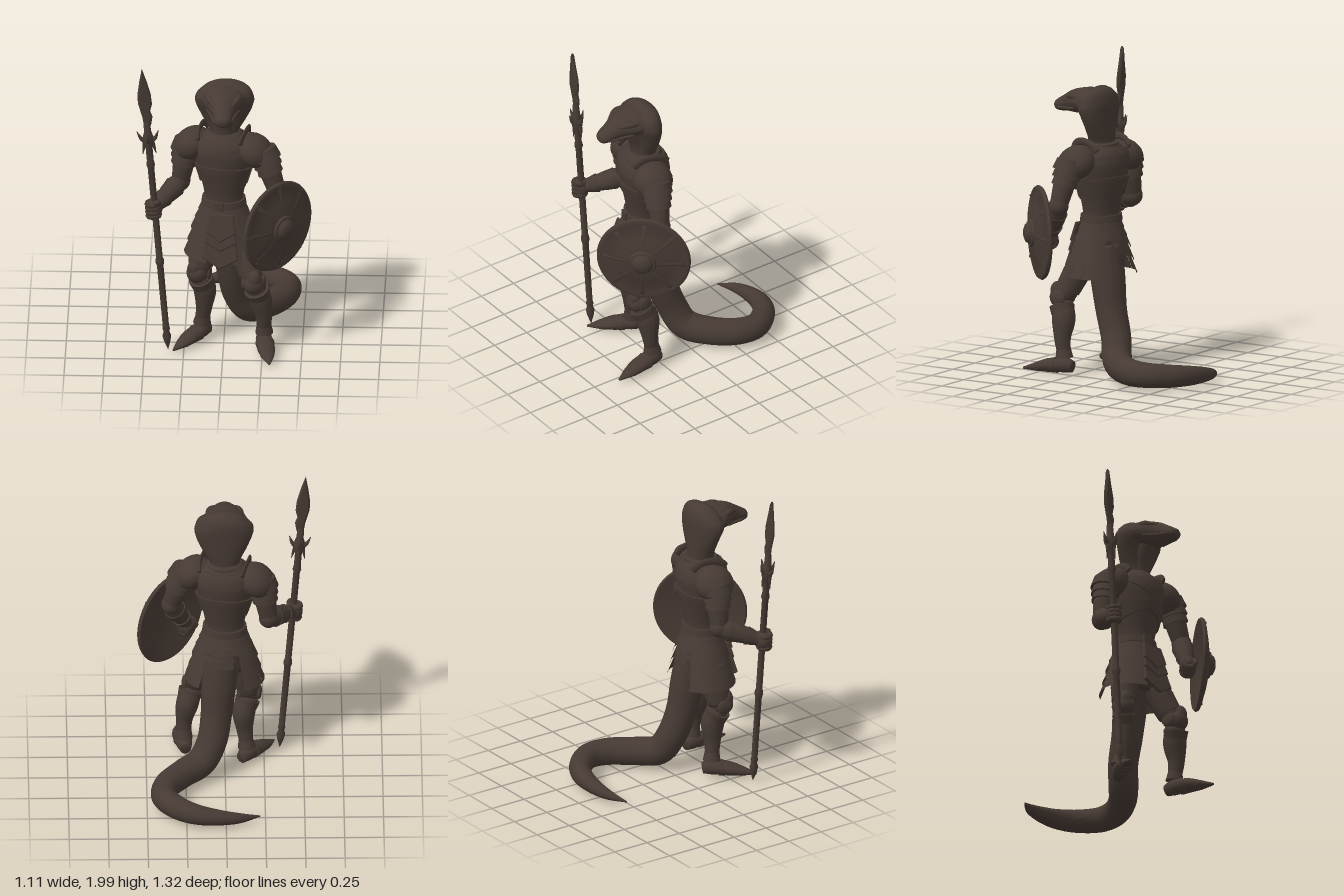
import * as THREE from 'three';
import { toCreasedNormals } from 'three/addons/utils/BufferGeometryUtils.js';

const V = (x, y, z) => new THREE.Vector3(x, y, z);
const UP = V(0, 1, 0), FRONT = V(0, 0, 1);
const bronze = new THREE.MeshStandardMaterial({ color: 0x463a33, side: THREE.DoubleSide });
bronze.name = 'darkBronze';

function add(parent, name, geo) {
  const m = new THREE.Mesh(geo, bronze);
  m.name = name;
  parent.add(m);
  return m;
}
function group(parent, name) {
  const g = new THREE.Group();
  g.name = name;
  parent.add(g);
  return g;
}
function surface(pos, idx) {
  const g = new THREE.BufferGeometry();
  g.setAttribute('position', new THREE.Float32BufferAttribute(pos, 3));
  g.setIndex(idx);
  g.computeVertexNormals();
  return g;
}
// Closed elliptical loft through sections [x, y, z, ra, rb]; rb lies along ref
function loft(secs, ref = FRONT, steps = 6, sides = 24) {
  const path = new THREE.CatmullRomCurve3(secs.map(s => V(s[0], s[1], s[2])));
  const size = new THREE.CatmullRomCurve3(secs.map(s => V(s[3], s[4] ?? s[3], 0)));
  const n = (secs.length - 1) * steps, pos = [], idx = [];
  for (let i = -1; i <= n + 1; i++) {
    const u = Math.min(Math.max(i / n, 0), 1), cap = i < 0 || i > n ? 0 : 1;
    const p = path.getPoint(u), r = size.getPoint(u), t = path.getTangent(u);
    const a = ref.clone().cross(t).normalize(), b = t.clone().cross(a);
    for (let j = 0; j <= sides; j++) {
      const w = j / sides * Math.PI * 2;
      const q = p.clone().addScaledVector(a, Math.cos(w) * r.x * cap).addScaledVector(b, Math.sin(w) * r.y * cap);
      pos.push(q.x, q.y, q.z);
    }
  }
  const k = sides + 1;
  for (let i = 0; i < n + 2; i++) for (let j = 0; j < sides; j++) {
    const a = i * k + j;
    idx.push(a, a + 1, a + k, a + 1, a + k + 1, a + k);
  }
  return surface(pos, idx);
}
const crisp = g => toCreasedNormals(g, 0.7);
// Short flared armour band between two points
function band(parent, name, a, b, r0, r1, ref = FRONT) {
  add(parent, name, crisp(loft([[...a, r0, r0], [...b, r1, r1]], ref, 1)));
}
function ball(parent, name, p, s) {
  const m = add(parent, name, new THREE.SphereGeometry(1, 24, 16));
  m.position.set(...p);
  m.scale.set(...s);
  return m;
}
const mix = (a, b, t) => a.map((v, i) => v + (b[i] - v) * t);

// Torso profile: y, half width, half depth
const TORSO = [[0.95, 0.14, 0.115], [1.03, 0.125, 0.105], [1.12, 0.14, 0.118], [1.25, 0.178, 0.145],
  [1.36, 0.195, 0.155], [1.42, 0.175, 0.145], [1.46, 0.135, 0.12], [1.49, 0.1, 0.095]];
function torsoAt(a, y, off) {
  let i = 0;
  while (i < TORSO.length - 2 && y > TORSO[i + 1][0]) i++;
  const s = mix(TORSO[i], TORSO[i + 1], (y - TORSO[i][0]) / (TORSO[i + 1][0] - TORSO[i][0]));
  return [Math.sin(a) * (s[1] + off), y, Math.cos(a) * (s[2] + off)];
}
// Raised plate following the torso, bounded by two height rules
function torsoPlate(a0, a1, low, high) {
  const pos = [], idx = [], nu = 28, nv = 9;
  for (let i = 0; i <= nv; i++) for (let j = 0; j <= nu; j++) {
    const s = j / nu * 2 - 1, a = a0 + (a1 - a0) * j / nu;
    const v = Math.min(Math.max((i - 1) / (nv - 2), 0), 1);
    pos.push(...torsoAt(a, low(s) + (high(s) - low(s)) * v, i === 0 || i === nv ? -0.005 : 0.012));
  }
  for (let i = 0; i < nv; i++) for (let j = 0; j < nu; j++) {
    const a = i * (nu + 1) + j, b = a + nu + 1;
    idx.push(a, a + 1, b, a + 1, b + 1, b);
  }
  return crisp(surface(pos, idx));
}

function buildTorso(root) {
  const t = group(root, 'torso');
  t.position.z = 0.2;
  t.rotation.y = -0.25;
  add(t, 'cuirass', loft(TORSO.map(([y, a, b]) => [0, y, 0, a, b]), FRONT, 4, 40));
  for (const [side, a] of [['front', 0], ['back', Math.PI]]) {
    add(t, side + 'UpperPlate', torsoPlate(a - 1.35, a + 1.35, s => 1.31 + 0.11 * Math.abs(s), s => 1.455 - 0.01 * Math.abs(s)));
    add(t, side + 'RibPlate', torsoPlate(a - 1.4, a + 1.4, s => 1.21 - 0.09 * Math.abs(s), s => 1.28 - 0.02 * Math.abs(s)));
  }
  const belt = add(t, 'belt', crisp(new THREE.CylinderGeometry(0.139, 0.145, 0.045, 36)));
  belt.position.y = 1.0;
  belt.scale.z = 0.86;
  add(t, 'buckle', new THREE.BoxGeometry(0.06, 0.06, 0.02)).position.set(0, 1.0, 0.122);
  const collar = add(t, 'neckCollar', new THREE.TorusGeometry(0.1, 0.014, 10, 36));
  collar.position.y = 1.465;
  collar.rotation.x = Math.PI / 2 + 0.12;
  // Sloping shoulder domes with upright rims
  for (const s of [-1, 1]) {
    ball(t, 'pauldron', [s * 0.205, 1.375, 0.008], [0.125, 0.1, 0.128]).rotation.z = -s * 0.62;
    const rim = [];
    for (let i = 0; i <= 8; i++) {
      const w = (i / 8 - 0.5) * 2.4;
      rim.push([s * (0.13 + 0.02 * Math.cos(w)), 1.42 + 0.085 * Math.cos(w), 0.12 * Math.sin(w), 0.01, 0.024]);
    }
    add(t, 'pauldronRim', loft(rim, UP, 3, 12));
  }
}

function buildHead(root) {
  const h = group(root, 'head');
  add(h, 'hood', loft([[0, 1.42, 0.2, 0.09, 0.08], [0, 1.5, 0.197, 0.098, 0.077], [0.003, 1.58, 0.198, 0.138, 0.078],
    [0.005, 1.66, 0.206, 0.175, 0.086], [0.005, 1.72, 0.218, 0.189, 0.098], [0.005, 1.765, 0.228, 0.176, 0.1],
    [0.003, 1.797, 0.24, 0.143, 0.088], [0.002, 1.818, 0.25, 0.095, 0.06], [0.002, 1.826, 0.255, 0.04, 0.028]], FRONT, 4, 36));
  add(h, 'neck', loft([[0, 1.4, 0.2, 0.085], [0, 1.55, 0.215, 0.075], [0, 1.64, 0.245, 0.078], [0, 1.73, 0.28, 0.08]]));
  add(h, 'skull', loft([[0, 1.742, 0.2, 0.12, 0.085], [0, 1.742, 0.28, 0.143, 0.085], [0, 1.738, 0.34, 0.122, 0.081],
    [0, 1.727, 0.4, 0.086, 0.073], [0, 1.712, 0.455, 0.066, 0.055], [0, 1.696, 0.51, 0.054, 0.041],
    [0, 1.693, 0.535, 0.037, 0.03], [0, 1.692, 0.545, 0.015, 0.014]], UP, 4, 28));
  for (const s of [-1, 1]) {
    add(h, 'browRidge', loft([[s * 0.11, 1.768, 0.27, 0.016], [s * 0.094, 1.778, 0.345, 0.022], [s * 0.058, 1.762, 0.425, 0.008]], UP));
    ball(h, 'eye', [s * 0.081, 1.752, 0.387], [0.01, 0.01, 0.014]);
    add(h, 'lip', loft([[s * 0.105, 1.7, 0.34, 0.008], [s * 0.073, 1.69, 0.42, 0.009], [s * 0.05, 1.684, 0.5, 0.007], [0, 1.682, 0.538, 0.005]], UP));
  }
}

function buildArm(root, side, shoulder, elbow, hand, grip) {
  const arm = group(root, side + 'Arm');
  const mid = mix(shoulder, elbow, 0.5);
  add(arm, 'upperArm', loft([[...shoulder, 0.075], [...mid, 0.07], [...elbow, 0.057]]));
  // Overlapping shoulder lames
  for (let i = 0; i < 3; i++)
    band(arm, 'shoulderLame', mix(shoulder, elbow, 0.02 + i * 0.16), mix(shoulder, elbow, 0.25 + i * 0.16), 0.086 - i * 0.006, 0.1 - i * 0.009);
  ball(arm, 'elbowGuard', elbow, [0.062, 0.067, 0.064]);
  const at = t => mix(elbow, hand, t);
  add(arm, 'forearm', loft([[...elbow, 0.057], [...at(0.3), 0.065], [...at(0.65), 0.052], [...hand, 0.04]], UP));
  band(arm, 'vambraceCuff', at(0.22), at(0.32), 0.07, 0.065, UP);
  band(arm, 'gauntletCuff', at(0.82), at(0.62), 0.046, 0.061, UP);
  // Fist closed round a grip direction
  const fist = group(arm, side + 'Hand');
  fist.position.set(...hand);
  fist.quaternion.setFromUnitVectors(UP, grip.normalize());
  ball(fist, 'palm', [0, 0, 0], [0.055, 0.064, 0.052]);
  for (let i = 0; i < 4; i++) {
    const f = add(fist, 'finger', new THREE.TorusGeometry(0.034, 0.019, 8, 20));
    f.rotation.x = Math.PI / 2;
    f.position.set(-0.004, -0.042 + i * 0.027, 0.008);
  }
  add(fist, 'thumb', loft([[0.03, 0.02, -0.01, 0.016], [0.03, 0.05, 0.03, 0.018], [0, 0.055, 0.05, 0.012]], V(1, 0, 0.3)));
}

function buildSkirt(root) {
  const k = group(root, 'skirt');
  k.position.z = 0.2;
  k.rotation.y = -0.12;
  add(k, 'pelvis', loft([[0, 1.0, 0, 0.13, 0.11], [0, 0.88, 0, 0.155, 0.13], [0, 0.74, 0, 0.15, 0.125], [0, 0.68, 0, 0.1, 0.09]]));
  const plate = (name, r0, r1, top, h, a, len) => {
    const m = add(k, name, crisp(new THREE.CylinderGeometry(r0, r1, h, 12, 1, true, a - len / 2, len)));
    m.position.y = top - h / 2;
    m.scale.z = 0.82;
  };
  plate('fauld', 0.138, 0.166, 0.985, 0.06, 0, Math.PI * 2);
  plate('fauld', 0.15, 0.188, 0.94, 0.07, 0, Math.PI * 2);
  for (const s of [-1, 1]) for (const a of [0.7, 1.42, 2.15]) for (let i = 0; i < 3; i++)
    plate('tasset', 0.162 + i * 0.023, 0.21 + i * 0.022, 0.91 - i * 0.085, 0.108, s * a, 0.78 - i * 0.03);
  plate('backTasset', 0.17, 0.207, 0.9, 0.12, Math.PI, 0.75);
  // Pointed front plates
  [[0.09, 0.95, 0.17], [0.097, 0.87, 0.15], [0.11, 0.79, 0.185]].forEach(([w, y, h], i) => {
    const s = new THREE.Shape([[-w * 0.8, 0], [w * 0.8, 0], [w, -h * 0.65], [0, -h], [-w, -h * 0.65]].map(p => new THREE.Vector2(...p)));
    const m = add(k, 'frontTasset', new THREE.ExtrudeGeometry(s, { depth: 0.01, bevelSize: 0.006, bevelThickness: 0.006, bevelSegments: 1 }));
    m.position.set(0.005, y, 0.137 + i * 0.012);
    m.rotation.x = -0.25;
  });
}

function buildLeg(root, side, hip, knee, ankle, toe) {
  const leg = group(root, side + 'Leg');
  const dir = V(toe[0] - ankle[0], 0, toe[2] - ankle[2]).normalize();
  // Shin line bows slightly to the figure's left
  const at = t => { const p = mix(knee, ankle, t); p[0] += 0.023 * Math.sin(Math.min(t, 1) * Math.PI); return p; };
  const off = (p, f, y = 0) => [p[0] + dir.x * f, p[1] + y, p[2] + dir.z * f];
  add(leg, 'thigh', loft([[...hip, 0.092], [...mix(hip, knee, 0.5), 0.085], [...knee, 0.066]]));
  band(leg, 'thighPlate', mix(hip, knee, 0.45), mix(hip, knee, 0.82), 0.088, 0.08);
  add(leg, 'greave', loft([[...at(0.08), 0.064], [...off(at(0.35), -0.012), 0.073, 0.076], [...at(0.7), 0.053], [...at(0.95), 0.044]]));
  band(leg, 'greaveTop', off(at(0.27), -0.005), off(at(0.14), 0.005), 0.073, 0.08);
  band(leg, 'ankleCuff', at(0.88), at(1.04), 0.046, 0.057);
  // Knee guard with side wings
  ball(leg, 'kneeGuard', off(knee, 0.02), [0.07, 0.068, 0.07]);
  ball(leg, 'kneePoint', off(knee, 0.045, 0.04), [0.045, 0.062, 0.042]);
  for (const s of [-1, 1]) ball(leg, 'kneeWing', [knee[0] + s * 0.06, knee[1], knee[2]], [0.02, 0.05, 0.05]);
  // Pointed armoured foot
  const len = Math.hypot(toe[0] - ankle[0], toe[2] - ankle[2]);
  const foot = [[-0.06, 0.06, 0.035, 0.037], [0, 0.07, 0.052, 0.05], [len * 0.4, 0.06, 0.057, 0.042],
    [len * 0.72, 0.042, 0.04, 0.025], [len, 0.027, 0.006, 0.007]].map(([f, y, a, b]) => [...off([ankle[0], y, ankle[2]], f), a, b]);
  add(leg, 'foot', loft(foot, UP));
  for (let i = 0; i < 3; i++) {
    const f = len * (0.18 + i * 0.17), w = 0.061 - i * 0.006, h = 0.052 - i * 0.01;
    add(leg, 'footLame', crisp(loft([[...off([ankle[0], 0.066 - i * 0.009, ankle[2]], f), w, h],
      [...off([ankle[0], 0.06 - i * 0.01, ankle[2]], f + 0.04), w - 0.005, h - 0.007]], UP, 1)));
  }
}

function buildSpear(root) {
  const s = group(root, 'spear'), base = V(-0.35, 0.005, 0.355), tip = V(-0.517, 2, 0.385);
  s.position.copy(base);
  s.quaternion.setFromUnitVectors(UP, tip.sub(base).normalize());
  const pts = [[0, 0], [0.02, 0.06], [0.028, 0.1], [0.018, 0.13], [0.024, 0.15], [0.02, 0.17], [0.021, 0.6], [0.027, 0.62], [0.027, 0.64],
    [0.021, 0.66], [0.021, 1.3], [0.028, 1.32], [0.022, 1.35], [0.022, 1.44], [0.034, 1.47], [0.034, 1.52], [0.024, 1.55], [0.02, 1.62], [0, 1.66]];
  add(s, 'shaft', crisp(new THREE.LatheGeometry(pts.map(p => new THREE.Vector2(...p)), 16)));
  const blade = new THREE.Shape([[-0.018, 1.58], [0.026, 1.6], [0.04, 1.66], [0.028, 1.7], [0.044, 1.75], [0.042, 1.82], [0.024, 1.91],
    [0, 2.002], [-0.024, 1.91], [-0.043, 1.82], [-0.044, 1.76], [-0.024, 1.66]].map(p => new THREE.Vector2(...p)));
  add(s, 'blade', new THREE.ExtrudeGeometry(blade, { depth: 0.008, bevelSize: 0.012, bevelOffset: -0.012, bevelThickness: 0.01, bevelSegments: 1 })).position.z = -0.004;
  for (let i = 0; i < 4; i++) {
    const w = i * Math.PI / 2, c = Math.cos(w), d = Math.sin(w) * 0.8, ref = V(-d, 0, c);
    add(s, 'upperBarb', loft([[c * 0.02, 1.49, d * 0.02, 0.018], [c * 0.045, 1.51, d * 0.045, 0.013], [c * 0.068, 1.56, d * 0.068, 0.002]], ref, 4, 10));
    add(s, 'lowerBarb', loft([[c * 0.022, 1.49, d * 0.022, 0.015], [c * 0.032, 1.45, d * 0.032, 0.01], [c * 0.042, 1.4, d * 0.042, 0.002]], ref, 4, 10));
  }
}

function buildShield(root) {
  const s = group(root, 'shield');
  s.position.set(0.345, 0.927, 0.435);
  s.quaternion.setFromUnitVectors(UP, V(0.73, 0, 0.68).normalize());
  const pts = [[0, 0.035], [0.15, 0.022], [0.27, -0.008], [0.293, -0.012], [0.302, 0], [0.295, 0.014], [0.27, 0.022], [0.262, 0.019],
    [0.18, 0.043], [0.09, 0.06], [0.083, 0.073], [0.068, 0.076], [0.058, 0.094], [0.032, 0.106], [0, 0.11]];
  add(s, 'disc', crisp(new THREE.LatheGeometry(pts.map(p => new THREE.Vector2(...p)), 64)));
  for (let i = 0; i < 8; i++) {
    const w = i * Math.PI / 4, c = Math.cos(w), d = Math.sin(w);
    ball(s, 'rivet', [c * 0.28, 0.019, d * 0.28], [0.009, 0.006, 0.009]);
    add(s, 'rib', loft([[c * 0.09, 0.057, d * 0.09, 0.016, 0.004], [c * 0.18, 0.041, d * 0.18, 0.01, 0.004], [c * 0.265, 0.017, d * 0.265, 0.02, 0.004]], UP, 4, 10));
  }
}

export function createModel() {
  const root = new THREE.Group();
  root.name = 'serpentGuard';
  buildTorso(root);
  buildHead(root);
  buildSkirt(root);
  buildArm(root, 'right', [-0.23, 1.4, 0.155], [-0.277, 1.1, 0.145], [-0.44, 1.01, 0.37], V(-0.08, 1, 0));
  buildArm(root, 'left', [0.245, 1.4, 0.27], [0.34, 1.11, 0.3], [0.235, 0.875, 0.435], V(-0.68, 0.3, 0.73));
  buildLeg(root, 'right', [-0.11, 0.78, 0.2], [-0.155, 0.5, 0.23], [-0.14, 0.13, 0.185], [-0.315, 0.03, 0.41]);
  buildLeg(root, 'left', [0.1, 0.78, 0.24], [0.193, 0.49, 0.36], [0.257, 0.13, 0.31], [0.3, 0.03, 0.595]);
  buildSpear(root);
  buildShield(root);
  // Long tail curling over the ground
  add(root, 'tail', loft([[0.02, 0.82, 0.16, 0.115], [0.04, 0.6, 0.12, 0.11], [0.055, 0.42, 0.087, 0.1], [0.085, 0.25, 0.03, 0.096],
    [0.15, 0.135, -0.02, 0.095], [0.27, 0.108, -0.125, 0.09], [0.375, 0.103, -0.27, 0.086], [0.39, 0.1, -0.4, 0.081], [0.3, 0.093, -0.525, 0.074],
    [0.19, 0.085, -0.587, 0.065], [0.06, 0.072, -0.604, 0.052], [-0.08, 0.055, -0.588, 0.034], [-0.215, 0.035, -0.53, 0.004]], V(0.5, 0.6, 0.62), 8, 28));
  return root;
}
